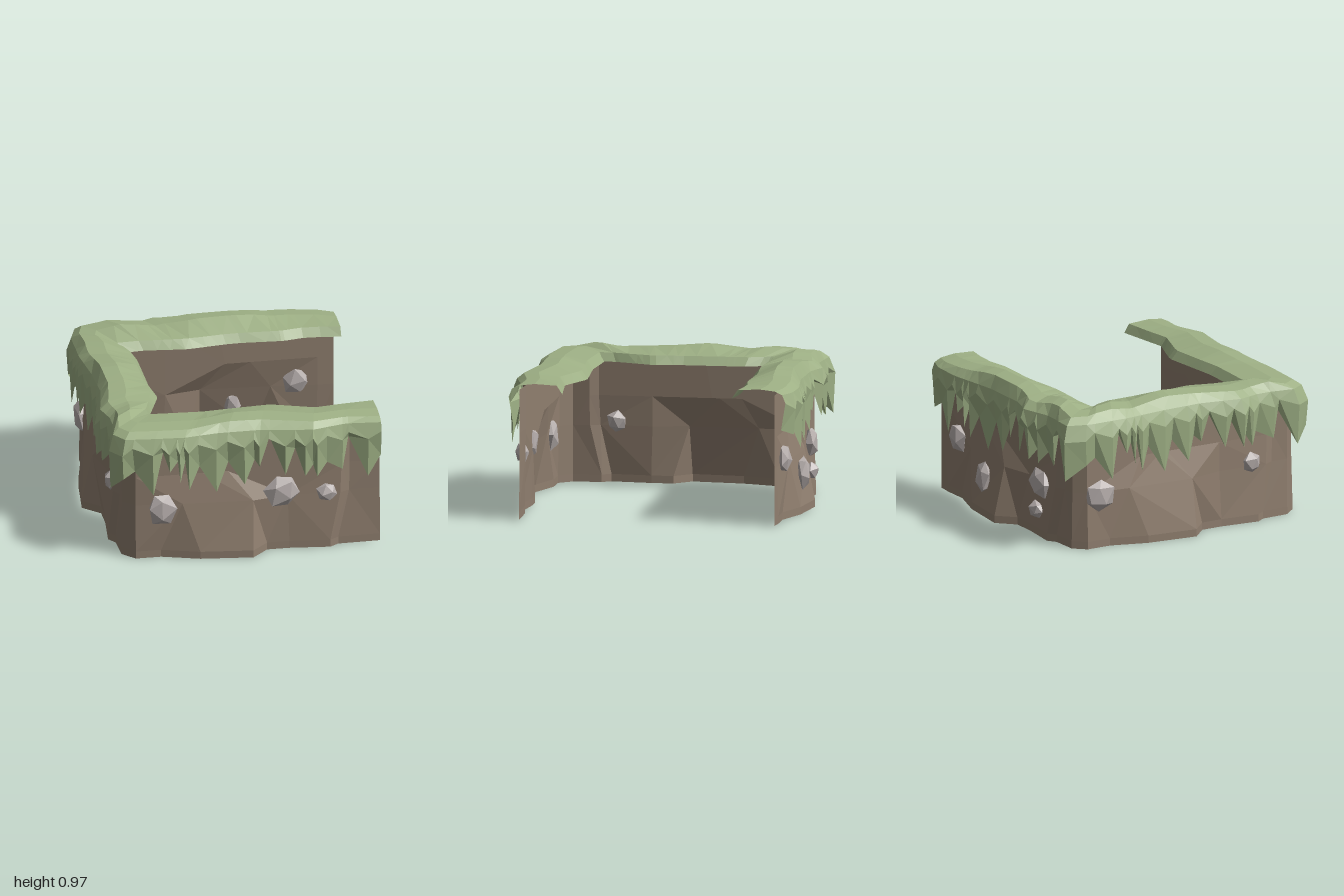
import * as THREE from 'three';

const material = (color) => new THREE.MeshStandardMaterial({ color, flatShading: true, side: THREE.DoubleSide });

// Each side is laid out as (u along the wall, d outward) and turned into place.
const PLACE = {
  back: (u, d, y) => new THREE.Vector3(-u, y, -d),
  left: (u, d, y) => new THREE.Vector3(-d, y, u),
  front: (u, d, y) => new THREE.Vector3(u, y, d),
};
const SIDES = ['back', 'left', 'front'];

// Piecewise linear lookup in a list of [u, value]
function lookup(points, u) {
  if (u <= points[0][0]) return points[0][1];
  for (let i = 1; i < points.length; i++) {
    const [u0, v0] = points[i - 1], [u1, v1] = points[i];
    if (u <= u1) return v0 + (v1 - v0) * (u - u0) / (u1 - u0);
  }
  return points[points.length - 1][1];
}

// Surface through a chain of equally long cross-sections
function loft(sections, name, mat) {
  const n = sections[0].length, index = [];
  for (let i = 0; i < sections.length - 1; i++) {
    for (let j = 0; j < n - 1; j++) {
      const a = i * n + j, b = a + 1, c = a + n, d = c + 1;
      if ((i + j) % 2) index.push(a, b, c, b, d, c);
      else index.push(a, b, d, a, d, c);
    }
  }
  let geometry = new THREE.BufferGeometry().setFromPoints(sections.flat());
  geometry.setIndex(index);
  geometry = geometry.toNonIndexed();
  geometry.computeVertexNormals();
  const mesh = new THREE.Mesh(geometry, mat);
  mesh.name = name;
  return mesh;
}

// Cliff columns: u at base, middle, upper, top; then d at the same heights
const COLUMNS = [
  [-0.92, -0.92, -0.92, -0.92, 0.87, 0.87, 0.87, 0.87],
  [-0.72, -0.72, -0.72, -0.72, 0.88, 0.87, 0.87, 0.87],
  [-0.55, -0.41, -0.30, -0.32, 0.88, 0.90, 0.87, 0.87],
  [-0.30, -0.41, -0.27, -0.24, 0.96, 0.90, 0.87, 0.87],
  [0.05, 0.06, -0.15, -0.16, 1.00, 0.93, 0.87, 0.87],
  [0.16, 0.06, -0.10, -0.05, 0.89, 0.93, 0.87, 0.87],
  [0.31, 0.30, 0.30, 0.30, 0.89, 0.88, 0.88, 0.88],
  [0.58, 0.65, 0.66, 0.66, 0.92, 0.90, 0.89, 0.89],
  [0.64, 0.715, 0.72, 0.72, 0.88, 0.865, 0.86, 0.86],
  [0.92, 0.92, 0.92, 0.92, 0.875, 0.87, 0.87, 0.87],
];
const LEVELS = [[0.87, 3], [0.58, 2], [0.38, 1], [0.05, 0], [0, 0]];

// Per side: first column, shift along, shift outward, limits along
const WALL = {
  back: { first: 0, du: -0.09, dd: -0.035, min: -0.92, max: 0.73 },
  left: { first: 1, du: -0.04, dd: -0.075, min: -0.79, max: 0.79 },
  front: { first: 1, du: 0, dd: 0, min: -0.92, max: 0.92 },
};

function cliffSections(side) {
  const { first, du, dd, min, max } = WALL[side];
  return COLUMNS.slice(first).map((c) => LEVELS.map(([y, k]) =>
    PLACE[side](THREE.MathUtils.clamp(c[k] + du, min, max), c[k + 4] + dd, y)));
}

// Turf outlines: inner edge, outer edge and crest height along each side
const TURF = {
  back: {
    inner: [[-0.92, 0.55], [-0.7, 0.58], [-0.53, 0.55], [-0.2, 0.57], [0.12, 0.53], [0.4, 0.56], [0.55, 0.55]],
    outer: [[-0.92, 0.92], [-0.8, 0.97], [-0.55, 0.98], [-0.2, 0.93], [0.2, 0.94], [0.33, 1.0], [0.57, 0.93], [0.8, 0.96]],
    crest: [[-0.92, 0.91], [-0.45, 0.94], [-0.25, 0.97], [0.1, 0.965], [0.4, 0.93], [0.63, 0.97], [0.8, 0.93]],
  },
  left: {
    inner: [[-0.55, 0.55], [-0.46, 0.475], [0, 0.475], [0.2, 0.45], [0.48, 0.555], [0.55, 0.55]],
    outer: [[-0.85, 0.87], [-0.78, 0.89], [-0.5, 0.895], [-0.2, 0.86], [0.1, 0.85], [0.4, 0.91], [0.6, 0.85], [0.82, 0.89]],
    crest: [[-0.8, 0.93], [-0.7, 0.96], [-0.45, 0.93], [-0.15, 0.965], [0.2, 0.94], [0.5, 0.925], [0.72, 0.95], [0.8, 0.92]],
  },
  front: {
    inner: [[-0.55, 0.54], [-0.2, 0.56], [0.25, 0.525], [0.53, 0.63], [0.92, 0.585]],
    outer: [[-0.82, 0.94], [-0.65, 0.96], [-0.42, 0.975], [-0.2, 0.94], [0.1, 0.94], [0.45, 0.995], [0.68, 0.93], [0.92, 0.955]],
    crest: [[-0.8, 0.92], [-0.4, 0.92], [-0.1, 0.945], [0.3, 0.93], [0.92, 0.91]],
  },
};

// Hanging fringe: [u, height], alternating notches and tips
const FRINGE = [
  [-0.92, 0.64], [-0.82, 0.6], [-0.76, 0.64], [-0.62, 0.48], [-0.57, 0.77], [-0.51, 0.64], [-0.47, 0.7],
  [-0.44, 0.56], [-0.42, 0.7], [-0.38, 0.5], [-0.32, 0.65], [-0.19, 0.46], [-0.12, 0.66], [0, 0.5],
  [0.06, 0.66], [0.1, 0.62], [0.16, 0.82], [0.27, 0.56], [0.33, 0.74], [0.4, 0.55], [0.45, 0.62],
  [0.48, 0.54], [0.55, 0.62], [0.66, 0.56], [0.7, 0.78], [0.83, 0.5], [0.92, 0.64],
];

function turfSections(side) {
  const { inner, outer, crest } = TURF[side];
  const lo = side === 'back' ? -0.93 : -0.83;
  const hi = side === 'front' ? 0.93 : 0.84;
  const lowCorner = side !== 'back', highCorner = side !== 'front';
  return FRINGE.map((f, i) => [...f, i % 2]).filter(([u]) => u > lo && u < hi).map(([u, tipY, isTip]) => {
    // The inner edge is shorter where the side meets a corner
    const a = lowCorner ? -0.83 : -0.92, b = highCorner ? 0.83 : 0.92;
    const a2 = lowCorner ? -0.55 : -0.92, b2 = highCorner ? 0.55 : 0.92;
    const uIn = a2 + (b2 - a2) * (u - a) / (b - a);
    const dIn = lookup(inner, uIn), dOut = lookup(outer, u), top = lookup(crest, u);
    const profile = [
      [0, 0.845], [0.1, 0.902], [0.5, top], [0.78, top - 0.012], [0.91, 0.875],
      [isTip ? 1 : 0.97, isTip ? 0.77 : 0.82], [isTip ? 0.97 : 0.89, tipY],
    ];
    return profile.map(([t, y]) => PLACE[side](uIn + (u - uIn) * t, dIn + (dOut - dIn) * t, y));
  });
}

// Rocks: [side, u, y, d, half width, half height]
const ROCKS = [
  ['front', -0.55, 0.36, 0.895, 0.105, 0.12], ['front', 0.26, 0.42, 0.905, 0.12, 0.12], ['front', 0.56, 0.4, 0.915, 0.07, 0.07],
  ['left', 0.5, 0.4, 0.815, 0.07, 0.075], ['left', -0.67, 0.36, 0.81, 0.11, 0.12],
  ['back', -0.68, 0.41, 0.86, 0.1, 0.1], ['back', -0.25, 0.27, 0.92, 0.07, 0.12],
  ['back', 0.38, 0.37, 0.87, 0.105, 0.11], ['back', 0.36, 0.18, 0.88, 0.07, 0.06],
];

function makeRock([side, u, y, d, w, h], k, mat) {
  const geometry = new THREE.IcosahedronGeometry(1, 0);
  const p = geometry.attributes.position, v = new THREE.Vector3();
  for (let i = 0; i < p.count; i++) {
    v.fromBufferAttribute(p, i);
    v.multiplyScalar(1 + 0.14 * Math.sin(v.x * 5 + v.y * 9 + v.z * 7 + k * 2));
    p.setXYZ(i, v.x, v.y, v.z);
  }
  geometry.rotateZ(k * 0.9);
  geometry.scale(w, h, 0.05);
  geometry.computeVertexNormals();
  const rock = new THREE.Mesh(geometry, mat);
  rock.name = 'rock';
  rock.position.copy(PLACE[side](u, d, y));
  rock.rotation.y = { front: 0, left: -Math.PI / 2, back: Math.PI }[side];
  return rock;
}

export function createModel() {
  const group = new THREE.Group();
  group.name = 'cliffEnclosure';

  // Earth wall and grass cap run in one chain: back, left, front
  group.add(loft(SIDES.flatMap(cliffSections), 'cliffWall', material(0x918070)));
  group.add(loft(SIDES.flatMap(turfSections), 'grassCap', material(0x9eb085)));

  // Embedded stones
  const rocks = new THREE.Group();
  rocks.name = 'rocks';
  const stone = material(0xb8b0ae);
  ROCKS.forEach((r, k) => rocks.add(makeRock(r, k, stone)));
  group.add(rocks);
  return group;
}
